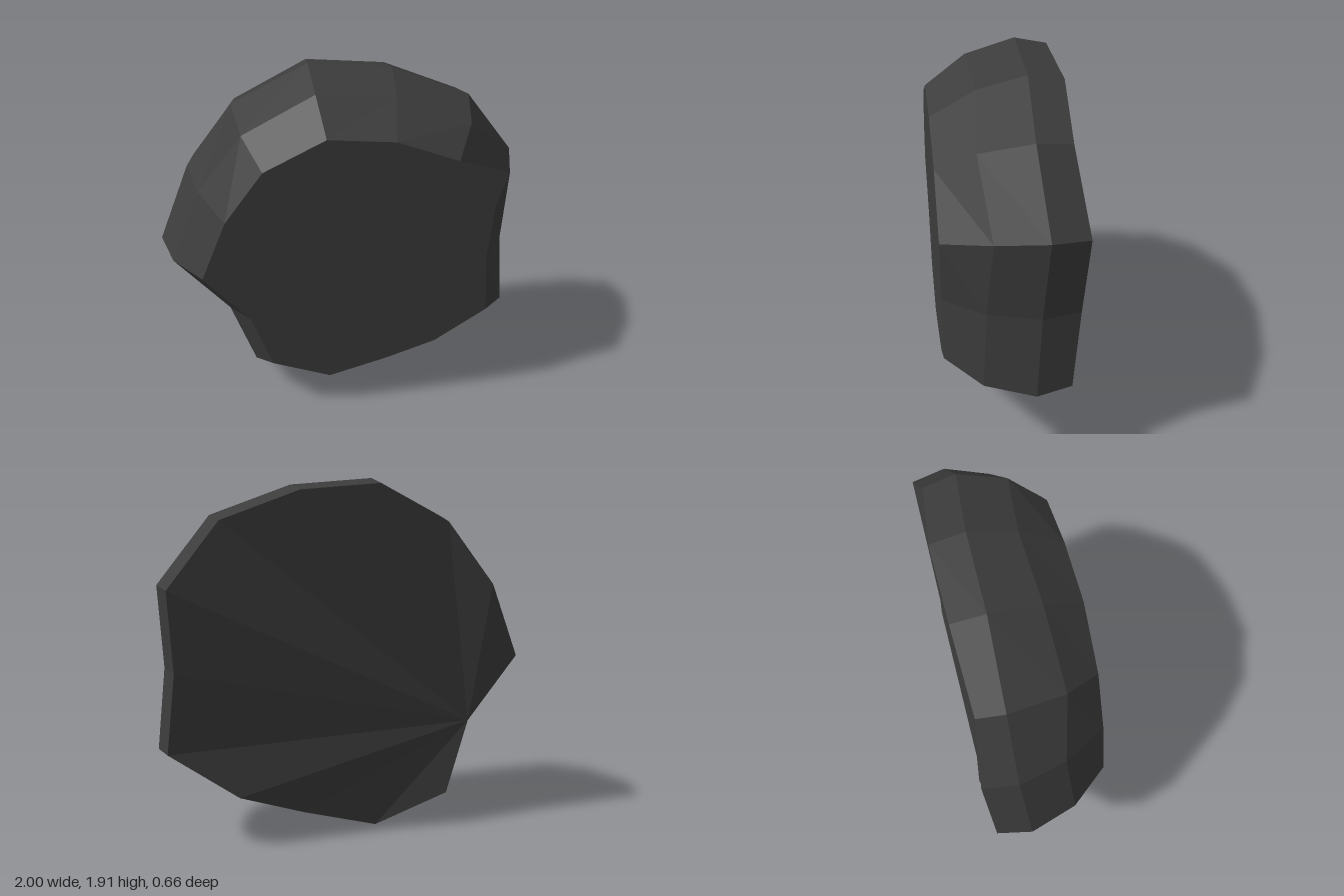
import * as THREE from 'three';

// Rim of the rock, counter-clockwise seen from the front:
// x, y at the widest ring, then z of the shoulder, widest and back rings
const RIM = [
  [0.95, 0.95, 0.13, -0.12, -0.31], [0.975, 1.375, 0.10, -0.14, -0.325],
  [0.70, 1.72, 0.145, -0.11, -0.285], [0.285, 1.875, 0.105, -0.14, -0.32],
  [-0.155, 1.915, 0.12, -0.14, -0.31], [-0.56, 1.715, 0.145, -0.15, -0.29],
  [-0.82, 1.37, 0.10, -0.15, -0.33], [-1.0, 0.95, 0.13, -0.12, -0.30],
  [-0.70, 0.585, 0.13, -0.13, -0.31], [-0.565, 0.17, 0.13, -0.13, -0.33],
  [-0.15, 0.005, 0.15, -0.11, -0.285], [0.27, 0.13, 0.14, -0.12, -0.30],
  [0.63, 0.26, 0.13, -0.13, -0.325], [0.995, 0.515, 0.15, -0.10, -0.28],
];
const N = RIM.length;
const MIDDLE_Y = 0.95;
const NOTCH = 8; // inward corner from which both caps fan out

// One cross-section of the rock, shrunk about its middle
function ring(scale, shiftX, depth) {
  return RIM.map((p) => [
    p[0] * scale + shiftX,
    MIDDLE_Y + (p[1] - MIDDLE_Y) * scale,
    depth(p),
  ]);
}

function rockGeometry() {
  const rings = [
    ring(0.772, 0.01, () => 0.33),
    ring(0.925, 0.003, (p) => p[2]),
    ring(1, 0, (p) => p[3]),
    ring(0.965, 0, (p) => p[4]),
  ];
  const positions = rings.flat(2);
  const index = [];

  // Bands of the side wall
  for (let r = 0; r < rings.length - 1; r++) {
    for (let i = 0; i < N; i++) {
      const j = (i + 1) % N;
      const a = r * N + i, b = r * N + j;
      index.push(a, a + N, b, b, a + N, b + N);
    }
  }

  // Front and back caps
  const back = (rings.length - 1) * N;
  for (let k = 1; k < N - 1; k++) {
    const i = (NOTCH + k) % N, j = (NOTCH + k + 1) % N;
    index.push(NOTCH, i, j);
    index.push(back + NOTCH, back + j, back + i);
  }

  const indexed = new THREE.BufferGeometry();
  indexed.setAttribute('position', new THREE.Float32BufferAttribute(positions, 3));
  indexed.setIndex(index);
  const geometry = indexed.toNonIndexed(); // separate corners give flat facets
  geometry.computeVertexNormals();
  return geometry;
}

export function createModel() {
  const group = new THREE.Group();
  group.name = 'rockSlab';
  const stone = new THREE.MeshStandardMaterial({ color: 0x3c3c3c });
  stone.name = 'dark stone';
  const rock = new THREE.Mesh(rockGeometry(), stone);
  rock.name = 'rock';
  group.add(rock);
  return group;
}
